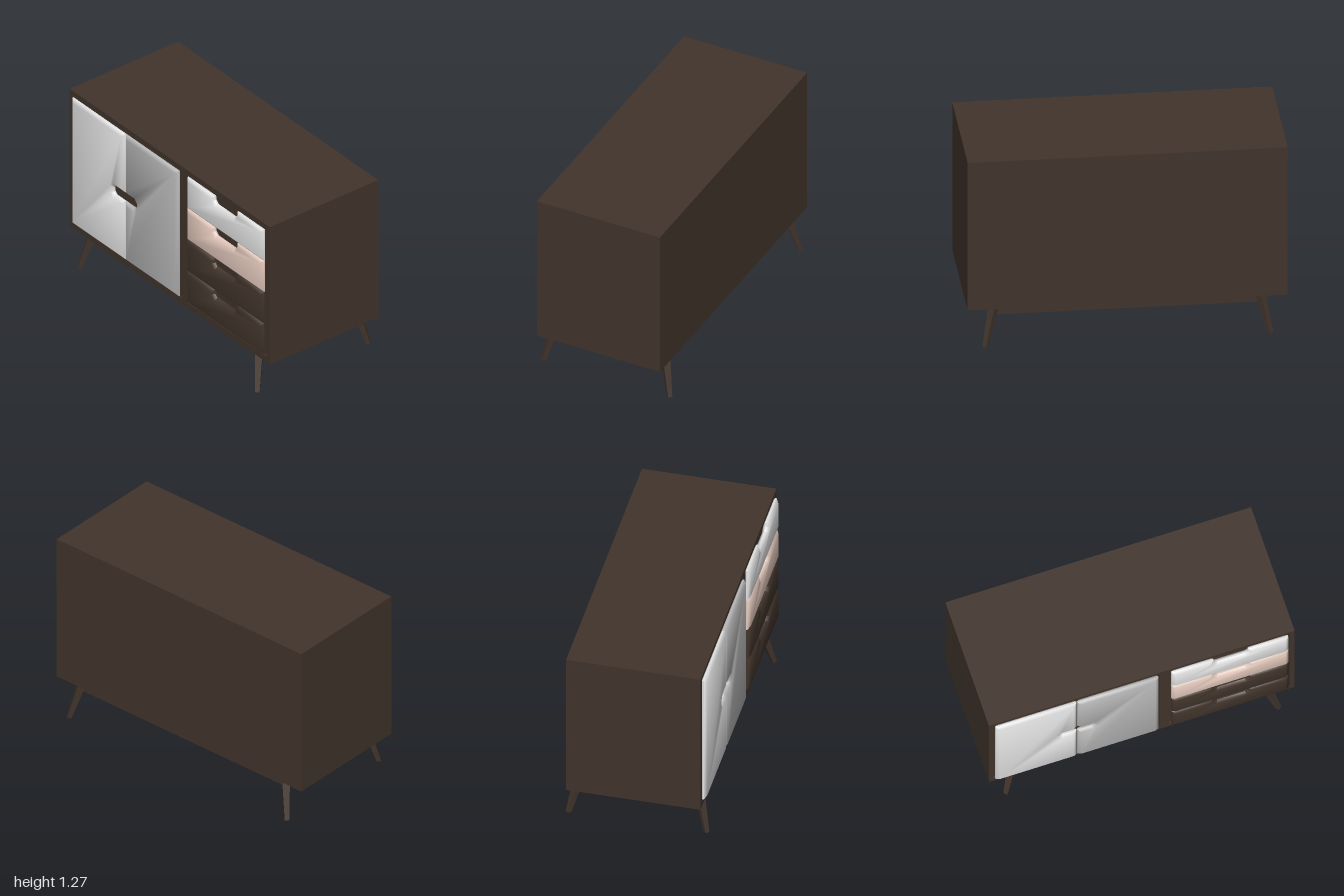
import * as THREE from 'three';
import { toCreasedNormals } from 'three/addons/utils/BufferGeometryUtils.js';

const mat = (name, color) => Object.assign(new THREE.MeshStandardMaterial({ color }), { name });

export function createModel() {
  const wood = mat('darkWood', 0x41342b);
  const white = mat('whitePaint', 0xe4e4e4);
  const grey = mat('greyPaint', 0xbababa);
  const pink = mat('palePinkPaint', 0xe6cbbf);

  const model = new THREE.Group();
  model.name = 'sideboard';

  const add = (name, geometry, material) => {
    const mesh = new THREE.Mesh(geometry, material);
    mesh.name = name;
    model.add(mesh);
    return mesh;
  };
  const box = (name, w, h, d, x, y, z) =>
    add(name, new THREE.BoxGeometry(w, h, d), wood).position.set(x, y, z);
  const polygon = pts => new THREE.Shape(pts.map(([x, y]) => new THREE.Vector2(x, y)));
  const rect = (x0, y0, x1, y1) => [[x0, y0], [x1, y0], [x1, y1], [x0, y1]];

  // Cabinet: solid body with a front frame that leaves two shallow bays
  const recess = 0.415, front = 0.43;
  box('cabinetBody', 2, 1.02, front + recess, 0, 0.76, (recess - front) / 2);
  const frame = polygon(rect(-1, 0.25, 1, 1.27));
  frame.holes.push(polygon(rect(-0.97, 0.29, 0.115, 1.24)), polygon(rect(0.18, 0.29, 0.965, 1.24)));
  add('frontFrame', new THREE.ExtrudeGeometry(frame, { depth: front - recess, bevelEnabled: false }), wood)
    .position.z = recess;

  // Softly chamfered panels, standing slightly proud of the frame
  const panel = (name, pts, material) => {
    const geometry = new THREE.ExtrudeGeometry(polygon(pts), {
      depth: 0.009, bevelThickness: 0.017, bevelSize: 0.022, bevelOffset: -0.022, bevelSegments: 1,
    });
    add(name, toCreasedNormals(geometry, 1), material).position.z = recess + 0.017;
  };

  // Doors, each with half of the shared handle cut-out
  const door = (name, outer, inner, material) => {
    const s = Math.sign(inner - outer);
    const tip = inner - s * 0.11, shoulder = tip + s * 0.015;
    const pts = [
      [outer, 0.302], [inner, 0.302], [inner, 0.733], [shoulder, 0.733], [tip, 0.748],
      [tip, 0.783], [shoulder, 0.798], [inner, 0.798], [inner, 1.23], [outer, 1.23],
    ];
    panel(name, s > 0 ? pts : pts.reverse(), material);
  };
  door('rightDoor', -0.96, -0.43, white);
  door('leftDoor', 0.105, -0.425, grey);

  // Drawers with a finger notch in the top edge
  [white, pink, wood, wood].forEach((material, i) => {
    const top = 1.232 - i * 0.232, bottom = top - 0.229;
    panel('drawer' + (i + 1), [
      [0.19, bottom], [0.955, bottom], [0.955, top], [0.692, top], [0.69, top - 0.03],
      [0.67, top - 0.05], [0.488, top - 0.05], [0.468, top - 0.03], [0.466, top], [0.19, top],
    ], material);
  });

  // Solid plinth between the legs
  box('plinth', 1.66, 0.065, 0.75, 0, 0.2175, 0);

  // Square tapered legs splayed outward along the diagonals
  const leg = new THREE.BoxGeometry(1, 0.25, 1).translate(0, 0.125, 0);
  const p = leg.attributes.position;
  for (let i = 0; i < p.count; i++) {
    const t = p.getY(i) / 0.25;
    const width = 0.028 + 0.02 * t;
    p.setX(i, p.getX(i) * width + 0.08 * (1 - t));
    p.setZ(i, p.getZ(i) * width);
  }
  leg.computeVertexNormals();
  for (const sx of [-1, 1]) for (const sz of [-1, 1]) {
    const mesh = add((sz > 0 ? 'front' : 'back') + (sx > 0 ? 'Left' : 'Right') + 'Leg', leg, wood);
    mesh.position.set(sx * 0.833, 0, sz * 0.383);
    mesh.rotation.y = Math.atan2(-sz, sx);
  }
  return model;
}
